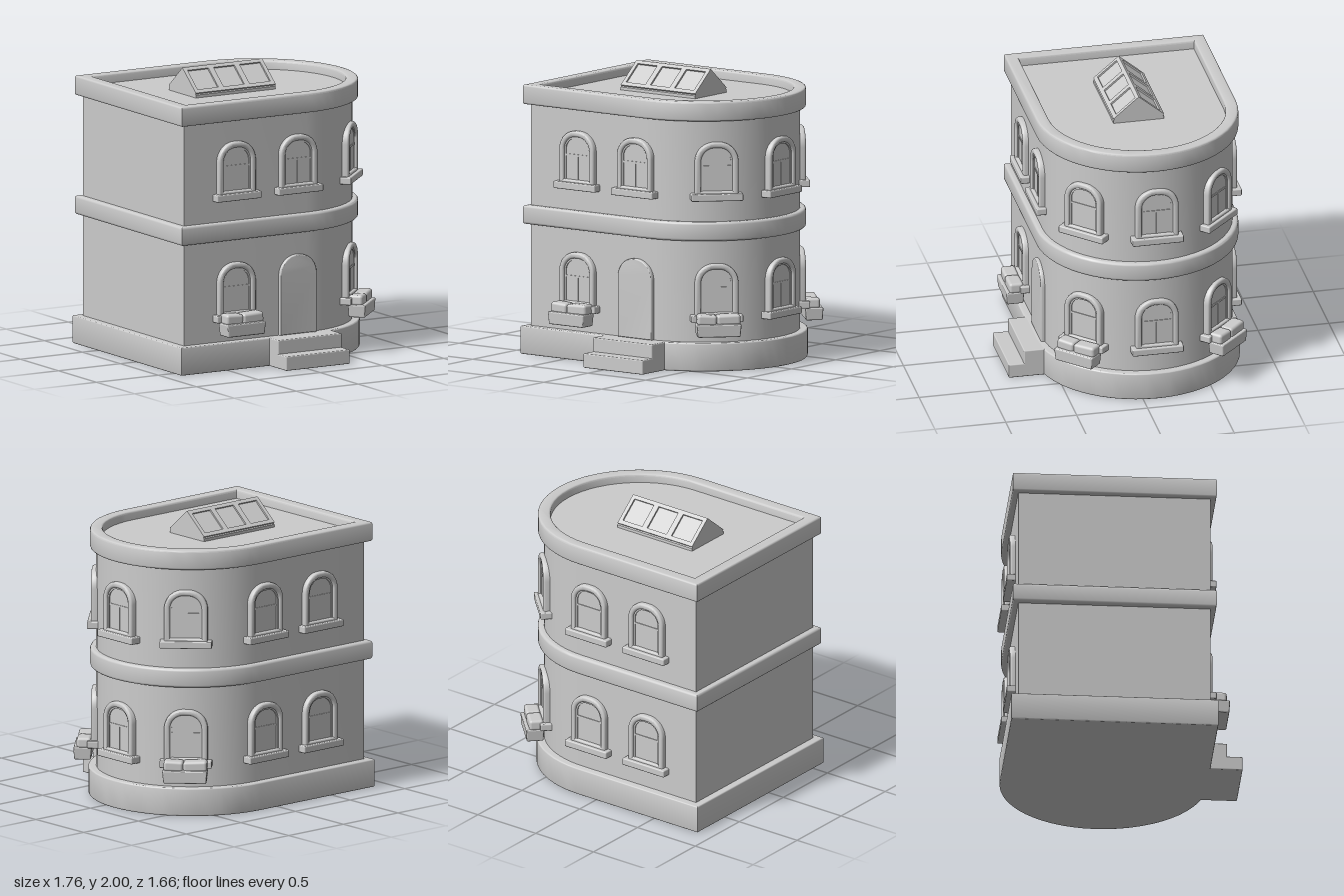
import * as THREE from 'three';
import { toCreasedNormals } from 'three/addons/utils/BufferGeometryUtils.js';
import { RoundedBoxGeometry } from 'three/addons/geometries/RoundedBoxGeometry.js';

const ZC = -0.105;   // middle of the building in z
const XC = 0.16;     // centre of the rounded end
const WALL = 0.663;  // half depth of the walls
const grey = new THREE.MeshStandardMaterial({ color: 0xcccccc });

function add(parent, name, geometry, x = 0, y = 0, z = 0) {
  const mesh = new THREE.Mesh(geometry, grey);
  mesh.name = name;
  mesh.position.set(x, y, z);
  parent.add(mesh);
  return mesh;
}

// Extrusion that keeps the outline's size and runs from z = 0 to z = depth
function extrude(shape, depth, bevel = 0, curveSegments = 8) {
  const g = new THREE.ExtrudeGeometry(shape, {
    depth: depth - 2 * bevel, curveSegments, bevelEnabled: bevel > 0,
    bevelThickness: bevel, bevelSize: bevel, bevelOffset: -bevel, bevelSegments: 3,
  });
  g.translate(0, 0, bevel);
  return toCreasedNormals(g, 0.6);
}

// Floor plan: square at the left, half round at the right
function plan(half, PathType = THREE.Shape) {
  const left = -0.83 - (half - WALL);
  const p = new PathType();
  p.moveTo(left, -half);
  p.lineTo(XC, -half);
  p.absarc(XC, 0, half, -Math.PI / 2, Math.PI / 2, false);
  p.lineTo(left, half);
  p.closePath();
  return p;
}

function slab(parent, name, half, y0, y1, bevel = 0, innerHalf = 0) {
  const shape = plan(half);
  if (innerHalf) shape.holes.push(plan(innerHalf, THREE.Path));
  const g = extrude(shape, y1 - y0, bevel, 14);
  g.rotateX(-Math.PI / 2);
  return add(parent, name, g, 0, y0, ZC);
}

// Upright opening with a rounded head, standing on y = y0
function arch(w, y0, y1, r, PathType = THREE.Shape) {
  const h = w / 2;
  const p = new PathType();
  p.moveTo(-h, y0);
  p.lineTo(h, y0);
  p.lineTo(h, y1 - r);
  p.absarc(h - r, y1 - r, r, 0, Math.PI / 2, false);
  p.absarc(-h + r, y1 - r, r, Math.PI / 2, Math.PI, false);
  p.closePath();
  return p;
}

function rect(x0, y0, x1, y1, PathType = THREE.Path) {
  const p = new PathType();
  p.moveTo(x0, y0);
  p.lineTo(x1, y0);
  p.lineTo(x1, y1);
  p.lineTo(x0, y1);
  p.closePath();
  return p;
}

function ring(w, y0, y1, r, t, depth, bevel, bottom = t) {
  const s = arch(w, y0, y1, r);
  s.holes.push(arch(w - 2 * t, y0 + bottom, y1 - t, Math.max(r - t, 0.02), THREE.Path));
  return extrude(s, depth, bevel);
}

function makeWindow() {
  const g = new THREE.Group();
  g.name = 'window';
  add(g, 'windowFrame', ring(0.3, -0.02, 0.36, 0.135, 0.04, 0.072, 0.014), 0, 0, -0.035);
  add(g, 'windowPane', extrude(arch(0.23, 0, 0.33, 0.1), 0.03), 0, 0, -0.016);
  add(g, 'windowSash', ring(0.222, 0, 0.322, 0.096, 0.013, 0.02, 0), 0, 0, 0.002);
  add(g, 'sashRail', new THREE.BoxGeometry(0.21, 0.014, 0.014), 0, 0.19, 0.012);
  add(g, 'mullion', new THREE.BoxGeometry(0.012, 0.18, 0.01), 0, 0.1, 0.012);
  add(g, 'windowSill', new RoundedBoxGeometry(0.36, 0.05, 0.11, 2, 0.008), 0, -0.022, 0.006);
  return g;
}

// Tapered planter with two clipped shrubs
function makePlanter() {
  const g = new THREE.Group();
  g.name = 'windowBox';
  const box = new RoundedBoxGeometry(0.31, 0.09, 0.125, 2, 0.01);
  const p = box.attributes.position;
  for (let i = 0; i < p.count; i++) {
    if (p.getY(i) < 0) p.setXYZ(i, p.getX(i) * 0.96, p.getY(i), p.getZ(i) * 0.94);
  }
  box.computeVertexNormals();
  add(g, 'planter', box, 0, -0.09, 0.094);
  const left = add(g, 'shrub', new RoundedBoxGeometry(0.135, 0.075, 0.1, 3, 0.02), -0.08, -0.02, 0.085);
  left.rotation.z = -0.05;
  const right = add(g, 'shrub', new RoundedBoxGeometry(0.165, 0.075, 0.1, 3, 0.02), 0.07, -0.02, 0.085);
  right.rotation.z = 0.04;
  return g;
}

function makeDoor() {
  const g = new THREE.Group();
  g.name = 'door';
  add(g, 'doorFrame', ring(0.295, 0, 0.555, 0.14, 0.022, 0.05, 0.008, 0), 0, 0, -0.025);
  add(g, 'doorBack', extrude(arch(0.27, 0, 0.54, 0.125), 0.03), 0, 0, -0.025);
  const leaf = arch(0.265, 0, 0.538, 0.125);
  for (const [y0, y1] of [[0.03, 0.16], [0.185, 0.265], [0.29, 0.415]]) {
    leaf.holes.push(rect(-0.1, y0, -0.014, y1), rect(0.014, y0, 0.1, y1));
  }
  const fan = new THREE.Path();
  fan.moveTo(-0.1, 0.44);
  fan.lineTo(0.1, 0.44);
  fan.absellipse(0, 0.44, 0.1, 0.072, 0, Math.PI, false);
  leaf.holes.push(fan);
  add(g, 'doorLeaf', extrude(leaf, 0.02), 0, 0, -0.003);
  for (const y of [0.06, 0.205, 0.315]) {
    for (const x of [-0.057, 0.057]) {
      add(g, 'doorPanel', new THREE.BoxGeometry(0.058, y === 0.205 ? 0.04 : 0.075, 0.008),
        x, y + (y === 0.205 ? 0.02 : 0.0375), 0.008);
    }
  }
  return g;
}

function makeSkylight() {
  const g = new THREE.Group();
  g.name = 'skylight';
  const w = 0.645, d = 0.178, rise = 0.15, eave = 1.85, ridge = eave + rise;
  const slope = Math.hypot(d, rise), t = 0.02;
  const core = new THREE.Shape([[-d, 1.79], [d, 1.79], [d, eave - 0.015], [0, ridge - 0.015], [-d, eave - 0.015]]
    .map(([x, y]) => new THREE.Vector2(x, y)));
  const coreGeo = extrude(core, w);
  coreGeo.translate(0, 0, -w / 2);
  coreGeo.rotateY(Math.PI / 2);
  add(g, 'skylightBody', coreGeo);
  // Glazing frame for each slope, with three lights
  for (const turn of [0, Math.PI]) {
    const frame = rect(-w / 2, 0, w / 2, slope, THREE.Shape);
    for (const x of [-0.21, 0, 0.21]) frame.holes.push(rect(x - 0.084, 0.03, x + 0.084, slope - 0.028));
    const geo = extrude(frame, t);
    geo.translate(0, 0, -t);
    geo.rotateX(-Math.atan2(d, rise));
    geo.translate(0, eave, d);
    geo.rotateY(turn);
    add(g, 'skylightFrame', geo);
  }
  g.position.set(-0.108, 0, -0.112);
  return g;
}

export function createModel() {
  const model = new THREE.Group();
  model.name = 'townhouse';

  // Main body, bands and roof
  slab(model, 'plinth', 0.715, 0, 0.197, 0.01);
  slab(model, 'walls', WALL, 0.15, 1.78);
  slab(model, 'floorBand', 0.704, 0.905, 1.037, 0.018);
  slab(model, 'roofDeck', 0.64, 1.76, 1.815);
  slab(model, 'cornice', 0.704, 1.74, 1.877, 0.014, 0.617);
  model.add(makeSkylight());

  // Entrance steps
  add(model, 'upperStep', new RoundedBoxGeometry(0.515, 0.197, 0.26, 2, 0.008), 0.087, 0.0985, 0.595);
  add(model, 'lowerStep', new RoundedBoxGeometry(0.515, 0.1, 0.26, 2, 0.008), 0.087, 0.05, 0.702);

  // Place a part on the wall, facing along the angle from +x towards +z
  const place = (part, x, y, z, angle) => {
    part.position.set(x, y, z);
    part.rotation.y = Math.PI / 2 - angle;
    model.add(part);
  };
  const front = ZC + WALL, back = ZC - WALL, q = Math.PI / 4, r = 0.654;
  const spots = [
    { x: -0.415, z: front, a: 2 * q, box: true },
    { x: 0.083, z: front, a: 2 * q, door: true },
    { x: -0.415, z: back, a: -2 * q },
    { x: 0.083, z: back, a: -2 * q },
    ...[-q, 0, q].map((a) => ({ x: XC + r * Math.cos(a), z: ZC + r * Math.sin(a), a, box: a !== 0 })),
  ];
  for (const s of spots) {
    place(makeWindow(), s.x, 1.232, s.z, s.a);
    if (s.door) place(makeDoor(), s.x, 0.197, s.z, s.a);
    else place(makeWindow(), s.x, 0.386, s.z, s.a);
    if (s.box) place(makePlanter(), s.x, 0.386, s.z, s.a);
  }
  return model;
}
